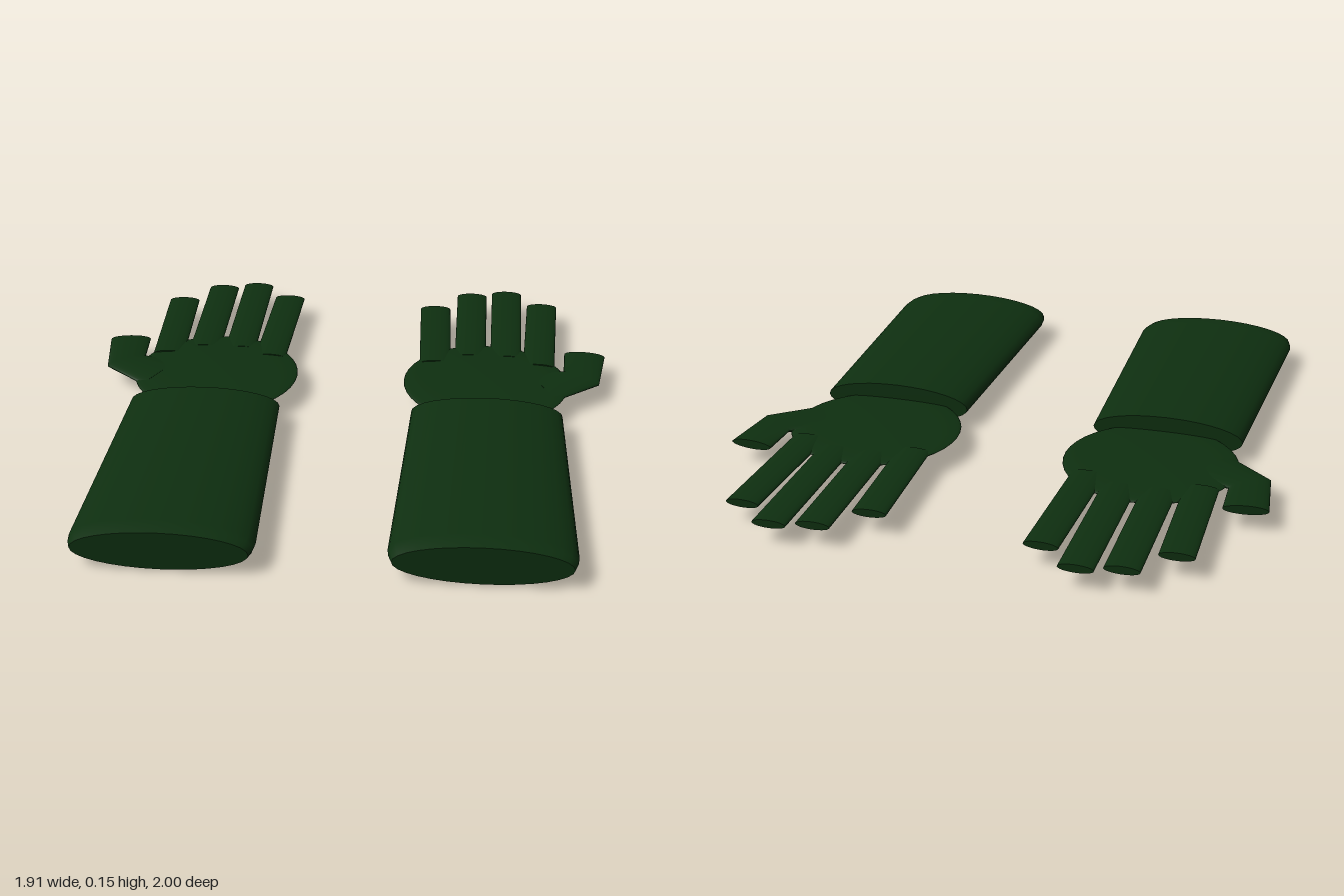
import * as THREE from 'three';

const MID_Y = 0.073;
const SIDES = 32;

// Lofts flattened elliptical sections running towards -z, with flat end caps.
// Each section is [xLeftEdge, zLeftEdge, xRightEdge, zRightEdge, halfThickness].
function loft(sections) {
  const pos = [], idx = [];
  const ring = ([xa, za, xb, zb, h]) => {
    const start = pos.length / 3;
    for (let i = 0; i < SIDES; i++) {
      const t = (i / SIDES) * Math.PI * 2, c = Math.cos(t) / 2;
      pos.push((xa + xb) / 2 + (xb - xa) * c, MID_Y + h * Math.sin(t), (za + zb) / 2 + (zb - za) * c);
    }
    return start;
  };
  const starts = sections.map(ring);
  for (let r = 0; r < starts.length - 1; r++) {
    const p = starts[r], q = starts[r + 1];
    for (let i = 0; i < SIDES; i++) {
      const j = (i + 1) % SIDES;
      idx.push(p + i, q + i, p + j, q + i, q + j, p + j);
    }
  }
  // caps use their own rings so the rims stay sharp
  [sections[0], sections[sections.length - 1]].forEach((s, end) => {
    const p = ring(s);
    for (let i = 1; i < SIDES - 1; i++) {
      if (end) idx.push(p, p + i + 1, p + i);
      else idx.push(p, p + i, p + i + 1);
    }
  });
  const g = new THREE.BufferGeometry();
  g.setAttribute('position', new THREE.Float32BufferAttribute(pos, 3));
  g.setIndex(idx);
  g.computeVertexNormals();
  return g;
}

export function createModel() {
  const model = new THREE.Group();
  const green = new THREE.MeshStandardMaterial({ color: 0x0e2f10 });
  green.name = 'darkGreen';

  const add = (parent, name, geometry) => {
    const mesh = new THREE.Mesh(geometry, green);
    mesh.name = name;
    parent.add(mesh);
    return mesh;
  };

  // Straight pieces, with x measured from the centre line of each arm
  const sleeve = loft([
    [-0.287, 1, 0.287, 1, 0.068],
    [-0.298, 0.965, 0.298, 0.965, 0.072],
    [-0.302, 0.93, 0.302, 0.93, 0.073],
    [-0.272, 0.02, 0.272, 0.02, 0.066],
  ]);
  const palm = new THREE.SphereGeometry(0.305, 40, 24).scale(1, 0.055, 1);

  // Fingers: [base x, base z, tip x, tip z]
  const fingers = [
    [-0.2, -0.36, -0.216, -0.84],
    [-0.068, -0.42, -0.071, -0.97],
    [0.068, -0.42, 0.069, -1],
    [0.192, -0.36, 0.211, -0.892],
  ].map(([x0, z0, x1, z1]) => {
    // half width vector, square to the finger's direction
    const len = Math.hypot(x1 - x0, z1 - z0);
    const wx = -0.059 * (z1 - z0) / len, wz = 0.059 * (x1 - x0) / len;
    return loft([
      [x0 - wx, z0 - wz, x0 + wx, z0 + wz, 0.014],
      [x1 - wx, z1 - wz, x1 + wx, z1 + wz, 0.014],
    ]);
  });

  // Bent thumb on the outer side of the -x hand, in arm-centred x
  const thumb = [
    [-0.25, -0.1, -0.14, -0.3, 0.013],
    [-0.414, -0.238, -0.285, -0.33, 0.016],
    [-0.445, -0.465, -0.292, -0.48, 0.016],
  ];

  for (const side of [-1, 1]) {
    const arm = new THREE.Group();
    arm.name = side > 0 ? 'leftArm' : 'rightArm';
    arm.position.x = side * 0.512;
    model.add(arm);

    add(arm, 'sleeve', sleeve);
    add(arm, 'palm', palm).position.set(-side * 0.007, MID_Y, -0.218);
    fingers.forEach((g, i) => add(arm, 'finger' + (i + 1), g));
    add(arm, 'thumb', loft(side < 0 ? thumb
      : thumb.map(([xa, za, xb, zb, h]) => [-xb, zb, -xa, za, h])));
  }
  return model;
}
